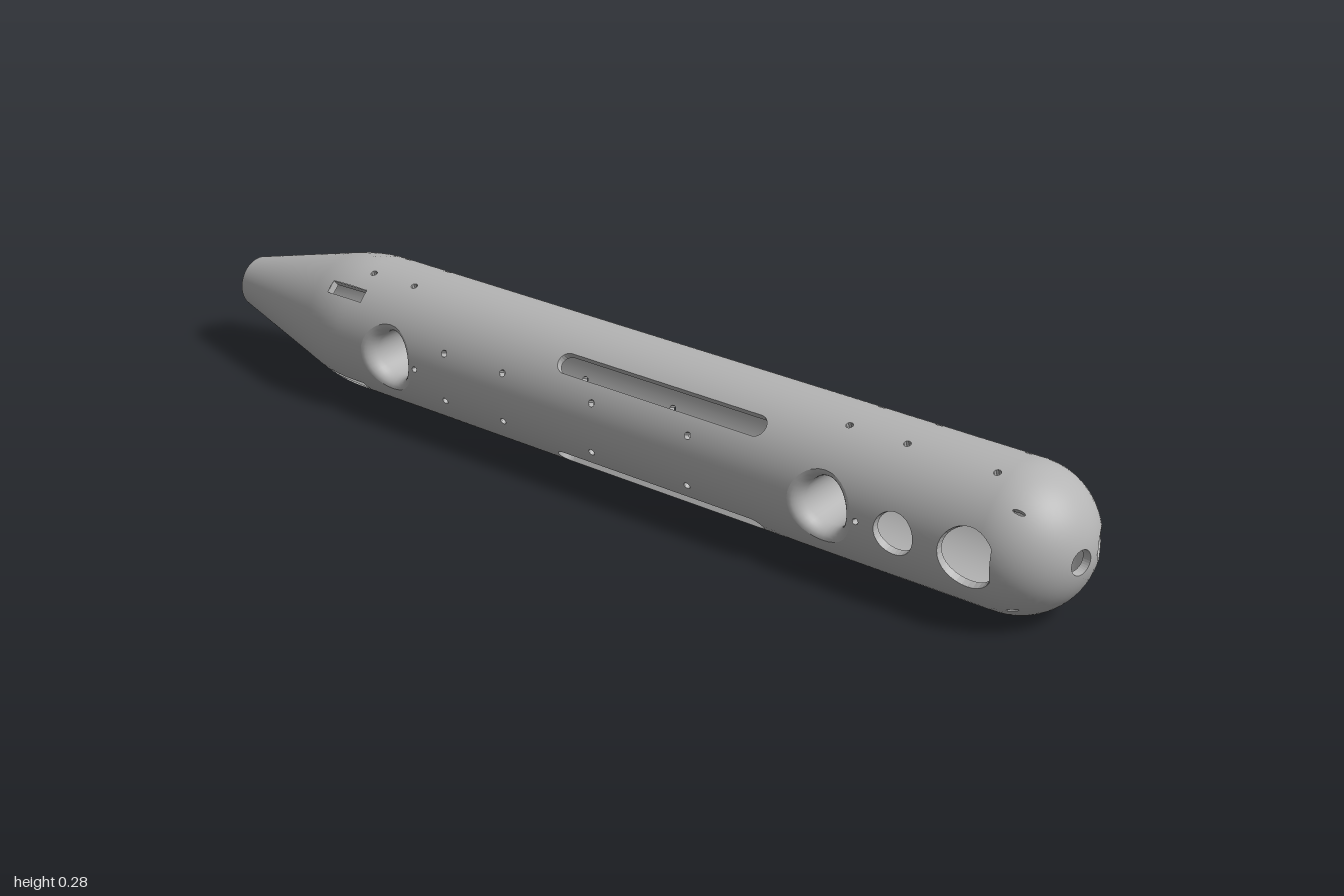
import * as THREE from 'three';
import { mergeGeometries } from 'three/addons/utils/BufferGeometryUtils.js';

const R = 0.1375, WALL = 0.015;
const NOSE_X = 0.8625, SEAM_X = 0.89; // centre of the round nose, joint with the hull
const V2 = (x, y) => new THREE.Vector2(x, y);

// Hull radius along x: cone, soft shoulder, cylinder, round nose
function radius(x) {
  const m = 0.264;
  if (x < -0.73) return 0.053 + m * (x + 1);
  if (x < -0.63) return R - (m * (x + 0.63) ** 2) / 0.2;
  if (x > NOSE_X) return Math.sqrt(Math.max(0, R * R - (x - NOSE_X) ** 2));
  return R;
}

// Points on the body, axis at y = 0: hull from (x, angle), nose from a polar disc
const hullPoint = (p) => {
  const r = radius(p.x);
  return new THREE.Vector3(p.x, r * Math.sin(p.y), r * Math.cos(p.y));
};
const nosePoint = (p) => {
  const f = p.length(), s = f > 1e-6 ? (R * Math.sin(f)) / f : R;
  return new THREE.Vector3(NOSE_X + R * Math.cos(f), s * p.y, s * p.x);
};
function normalAt(p) {
  if (p.x > NOSE_X) return new THREE.Vector3(p.x - NOSE_X, p.y, p.z).normalize();
  const slope = (radius(p.x + 1e-4) - radius(p.x - 1e-4)) / 2e-4;
  const r = Math.hypot(p.y, p.z);
  return new THREE.Vector3(-slope, p.y / r, p.z / r).normalize();
}

// How much an edge must still be split to follow the curved surface
function hullScore(a, b) {
  const lo = Math.min(a.x, b.x), hi = Math.max(a.x, b.x);
  const curved = (hi > -0.74 && lo < -0.62) || hi > 0.86;
  return Math.max(Math.abs(a.y - b.y) / 0.1, curved ? (hi - lo) / 0.03 : 0);
}
const noseScore = (a, b) => a.distanceTo(b) / 0.16;

// Flat outline with holes, split finely and wrapped onto the body
function skin(outline, holes, toPoint, score, inner) {
  const pts = [outline, ...holes].flat();
  const stack = THREE.ShapeUtils.triangulateShape(outline, holes).map((f) => f.map((i) => pts[i]));
  const pos = [], nor = [];
  while (stack.length) {
    const t = stack.pop();
    const s = [0, 1, 2].map((i) => score(t[i], t[(i + 1) % 3]));
    const w = s.indexOf(Math.max(...s));
    if (s[w] > 1) {
      const a = t[w], b = t[(w + 1) % 3], c = t[(w + 2) % 3];
      const m = V2((a.x + b.x) / 2, (a.y + b.y) / 2);
      stack.push([a, m, c], [m, b, c]);
      continue;
    }
    const P = t.map(toPoint), N = P.map(normalAt);
    if (inner) P.forEach((p, i) => { p.addScaledVector(N[i], -WALL); N[i].negate(); });
    const face = P[1].clone().sub(P[0]).cross(P[2].clone().sub(P[0]));
    const order = face.dot(N[0]) < 0 ? [0, 2, 1] : [0, 1, 2];
    for (const i of order) { pos.push(...P[i]); nor.push(...N[i]); }
  }
  const g = new THREE.BufferGeometry();
  g.setAttribute('position', new THREE.Float32BufferAttribute(pos, 3));
  g.setAttribute('normal', new THREE.Float32BufferAttribute(nor, 3));
  return g;
}

// Surface through closed rings of points
function loft(rings) {
  const n = rings[0].length, idx = [];
  for (let k = 0; k < rings.length - 1; k++) for (let i = 0; i < n; i++) {
    const a = k * n + i, b = k * n + ((i + 1) % n);
    idx.push(a, b, a + n, b, b + n, a + n);
  }
  const g = new THREE.BufferGeometry().setFromPoints(rings.flat());
  g.setIndex(idx);
  g.computeVertexNormals();
  return g;
}

// Wall of a hole through the shell thickness
function rim(contour, toPoint) {
  const outer = contour.map(toPoint);
  const g = loft([outer, outer.map((p) => p.clone().addScaledVector(normalAt(p), -WALL))]).toNonIndexed();
  g.computeVertexNormals();
  return g;
}

const angles = (n) => Array.from({ length: n }, (_, i) => (i / n) * Math.PI * 2);

// Round hole cut straight along z (front at side 0, back at side PI)
const boredHole = (x, r, side, n = 32, maxX = 9) => angles(n).map((a) =>
  V2(Math.min(x + r * Math.cos(a), maxX), side + Math.asin((r * Math.sin(a)) / R)));
// Small screw hole facing outward
const screwHole = (x, ang, r = 0.007) => angles(10).map((a) =>
  V2(x + r * Math.cos(a), ang + (r * Math.sin(a)) / R));
// Long slot with round ends
const slotHole = (x0, x1, ang, r) => angles(24).map((a) => a + Math.PI / 24).map((a) =>
  V2((Math.cos(a) > 0 ? x1 - r : x0 + r) + r * Math.cos(a), ang + (r * Math.sin(a)) / R));
const rectHole = (x0, x1, ang, h) => [V2(x0, ang - h), V2(x1, ang - h), V2(x1, ang + h), V2(x0, ang + h)];
// Round hole cut along x in the nose, optionally with a key notch on its outer side
const noseHole = (z, y, r, n = 32, key = 1) => angles(n).map((a) => {
  const k = Math.cos(a) < 0 && Math.abs(Math.sin(a)) < 0.35 ? key : 1;
  const p = V2(z + k * r * Math.cos(a), y + k * r * Math.sin(a));
  return p.setLength(Math.asin(p.length() / R));
});

// Cross tunnel with flared mouths on both sides
function tunnel(x) {
  const half = (side) => Array.from({ length: 8 }, (_, k) => {
    const t = (k / 7) * Math.PI / 2;
    const r = 0.048 + 0.02 * (1 - Math.sin(t)), depth = 0.03 * (1 - Math.cos(t));
    return angles(32).map((a) => new THREE.Vector3(x + r * Math.cos(a), r * Math.sin(a),
      side * (Math.sqrt(R * R - (0.068 * Math.sin(a)) ** 2) - depth)));
  });
  return loft([...half(1), ...half(-1).reverse()]);
}

export function createModel() {
  const group = new THREE.Group();
  const body = new THREE.Group();
  body.name = 'body';
  body.position.y = R;
  group.add(body);

  const hullGrey = new THREE.MeshStandardMaterial({ color: 0xb4b4b4, side: THREE.DoubleSide });
  hullGrey.name = 'hullGrey';
  const add = (name, geometry) => {
    const mesh = new THREE.Mesh(geometry, hullGrey);
    mesh.name = name;
    body.add(mesh);
  };

  const PI = Math.PI, Q = PI / 4;
  const tunnels = [-0.5, 0.54];
  const mouths = [], holes = [];

  // Tunnel mouths and the pin hole beside each
  for (const x of tunnels) for (const side of [0, PI]) {
    mouths.push(boredHole(x, 0.068, side));
    holes.push(screwHole(x + 0.078, side, 0.006));
  }
  // Sensor ports on the front side
  holes.push(boredHole(0.695, 0.04, 0), boredHole(0.84, 0.056, 0, 32, 0.886));
  // Long slots on the front side, tail windows all round
  for (const a of [-Q, Q]) holes.push(slotHole(-0.085, 0.395, a, 0.021));
  for (const a of [-Q, Q, PI - Q, PI + Q]) holes.push(rectHole(-0.69, -0.595, a, 0.1));
  // Screw holes in pairs
  for (const d of [-0.37, 0.37]) {
    for (const x of [-0.61, -0.5, 0.54, 0.66, 0.84])
      holes.push(screwHole(x, PI / 2 + d), screwHole(x, (d > 0 ? -PI / 2 : 1.5 * PI) + d));
    for (const x of [-0.35, -0.2, 0.02, 0.245]) holes.push(screwHole(x, d), screwHole(x, PI + d));
    holes.push(screwHole(0.39, PI + d));
  }

  // Hull shell
  const outline = [V2(-1, -PI / 2), V2(SEAM_X, -PI / 2), V2(SEAM_X, 1.5 * PI), V2(-1, 1.5 * PI)];
  const cut = [...mouths, ...holes];
  add('hull', skin(outline, cut, hullPoint, hullScore, false));
  add('hullLining', skin(outline, cut, hullPoint, hullScore, true));
  add('hullHoleWalls', mergeGeometries(holes.map((h) => rim(h, hullPoint))));
  add('tailRim', rim(angles(64).map((a) => V2(-1, a)), hullPoint));
  for (const x of tunnels) add('thrusterTunnel', tunnel(x));

  // Round nose with two ports and four screw holes
  const edge = Math.acos((SEAM_X - NOSE_X) / R);
  const noseOutline = angles(64).map((a) => V2(edge * Math.cos(a), edge * Math.sin(a)));
  const noseHoles = [noseHole(0.025, 0, 0.0235), noseHole(-0.057, 0, 0.03, 32, 1.12)];
  for (const z of [-0.091, 0.091]) for (const y of [-0.091, 0.091]) noseHoles.push(noseHole(z, y, 0.004, 10));
  add('nose', skin(noseOutline, noseHoles, nosePoint, noseScore, false));
  add('noseLining', skin(noseOutline, noseHoles, nosePoint, noseScore, true));
  add('noseHoleWalls', mergeGeometries(noseHoles.map((h) => rim(h, nosePoint))));

  return group;
}
